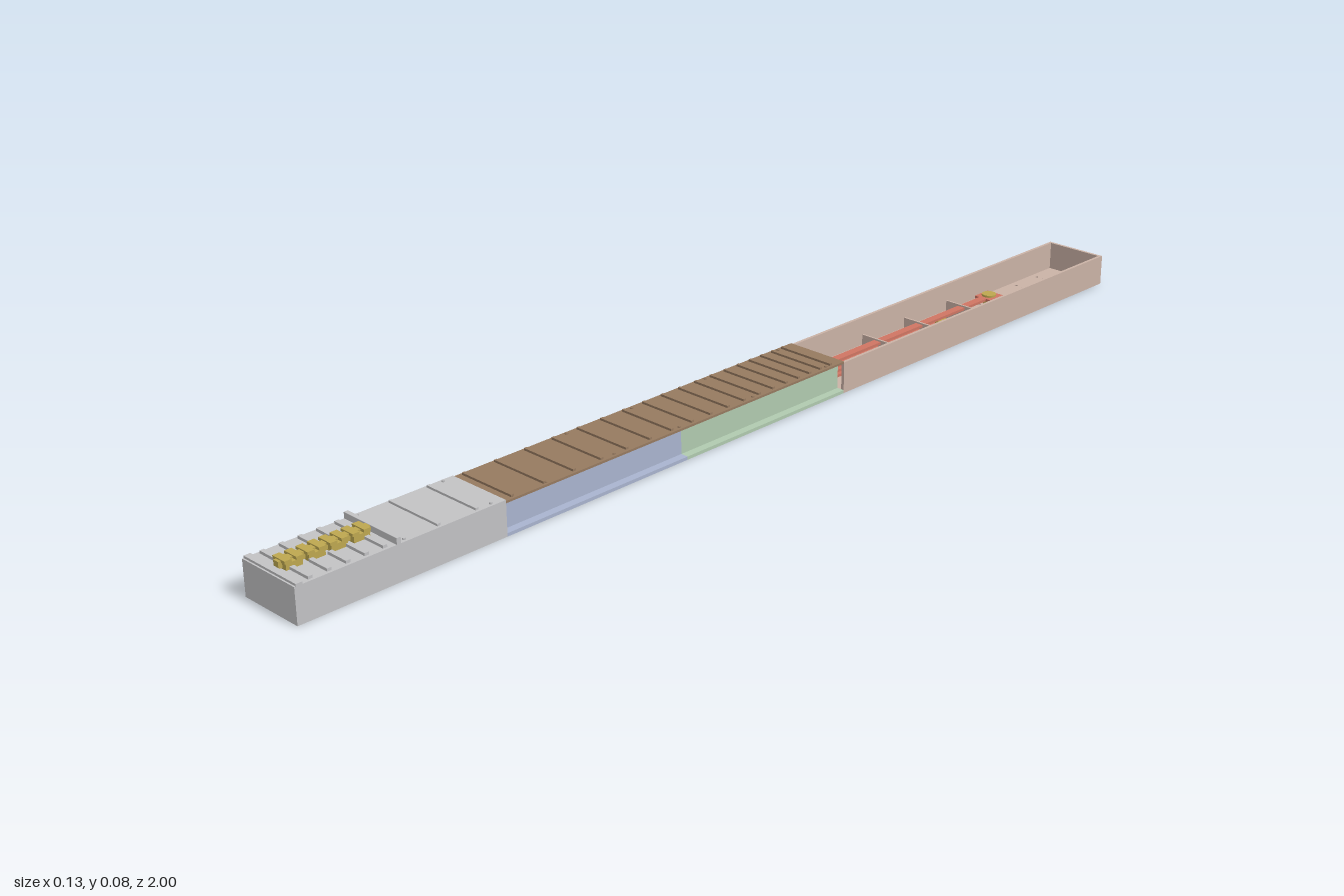
import * as THREE from 'three';

const mat = (name, color) => {
  const m = new THREE.MeshStandardMaterial({ color });
  m.name = name;
  return m;
};

export function createModel() {
  const grey = mat('head grey', 0xc2c2c4);
  const blue = mat('body blue', 0xa9b4cf);
  const green = mat('body green', 0xb0caaf);
  const pink = mat('trough pink', 0xcab2a6);
  const brown = mat('board brown', 0x967a60);
  const gold = mat('brass', 0xbda750);
  const red = mat('bar red', 0xcf7563);

  const model = new THREE.Group();
  const add = (name, geo, m, x = 0, y = 0, z = 0) => {
    const mesh = new THREE.Mesh(geo, m);
    mesh.name = name;
    mesh.position.set(x, y, z);
    model.add(mesh);
    return mesh;
  };
  // box given by its two extreme corners
  const box = (name, m, x0, x1, y0, y1, z0, z1) =>
    add(name, new THREE.BoxGeometry(x1 - x0, y1 - y0, z1 - z0), m,
      (x0 + x1) / 2, (y0 + y1) / 2, (z0 + z1) / 2);
  const post = (name, m, r, x, y0, y1, z, sides = 20) =>
    add(name, new THREE.CylinderGeometry(r, r, y1 - y0, sides), m, x, (y0 + y1) / 2, z);

  const W = 0.065, TOP = 0.062, wall = 0.006;

  // head block with nut, front lip and cross ribs
  box('head', grey, -W, W, 0, 0.064, 0.6, 1);
  box('nut', grey, -W, W, 0.064, 0.075, 0.806, 0.814);
  box('headLip', grey, -W, W, 0.064, 0.068, 0.985, 0.997);
  for (let i = 0; i < 5; i++) {
    const z = 0.832 + i * 0.034;
    for (const s of [-1, 1]) {
      box('headRib', grey, Math.min(s * 0.015, s * 0.06), Math.max(s * 0.015, s * 0.06),
        0.064, 0.069, z - 0.004, z + 0.004);
    }
  }

  // four brass string clamps
  for (let i = 0; i < 4; i++) {
    const z = 0.84 + i * 0.041;
    box('clampBase', gold, -0.015, 0.015, 0.064, 0.075, z - 0.015, z + 0.015);
    box('clampCap', gold, -0.015, 0.015, 0.075, 0.08, z - 0.017, z - 0.004);
    box('clampCap', gold, -0.015, 0.015, 0.075, 0.08, z + 0.004, z + 0.017);
    box('clampScrew', gold, -0.006, 0.006, 0.066, 0.078, z - 0.022, z + 0.022);
  }

  // hollow middle body: floor, left outer wall and an inset wall under the board
  for (const [name, m, z0, z1] of [['front', blue, 0.2, 0.6], ['rear', green, -0.2, 0.2]]) {
    box(name + 'BodyFloor', m, -W, W, 0, 0.006, z0, z1);
    box(name + 'BodyWall', m, -W, -W + wall, 0.006, 0.058, z0, z1);
    box(name + 'BodyInsetWall', m, 0.044, 0.05, 0.006, 0.058, z0, z1);
  }
  box('rearBodyEnd', green, -W + wall, -0.005, 0.006, 0.058, -0.2, -0.194);

  // fingerboard and geometrically spaced frets
  box('fingerboard', brown, -W, W, 0.058, TOP, -0.2, 0.6);
  for (let n = 1; n <= 20; n++) {
    const z = -0.62 + 1.43 * Math.pow(2, -n / 12);
    const onHead = z > 0.6;
    const y = onHead ? 0.064 : TOP;
    box('fret', onHead ? grey : brown, -0.06, 0.06, y, y + 0.004, z - 0.003, z + 0.003);
  }
  for (const z of [-0.17, 0.02, 0.2, 0.35, 0.5, 0.57]) {
    for (const x of [-0.058, 0.058]) post('boardScrew', brown, 0.003, x, TOP, TOP + 0.002, z + 0.012, 8);
  }
  for (const x of [-0.058, 0.058]) {
    for (const z of [0.625, 0.795]) post('headScrew', grey, 0.003, x, 0.064, 0.067, z, 8);
  }

  // trough floor with tuner openings and small drilled holes
  const tunerZ = [-0.27, -0.398, -0.525, -0.68];
  const tunerX = 0.022;
  const floor = new THREE.Shape();
  floor.moveTo(-W, 0.2).lineTo(W, 0.2).lineTo(W, 1).lineTo(-W, 1).closePath();
  const hole = (x, z, r) => {
    const p = new THREE.Path();
    p.absarc(x, -z, r, 0, Math.PI * 2, true);
    floor.holes.push(p);
  };
  for (const z of tunerZ) {
    hole(tunerX, z, 0.022);
    for (const dz of [-0.04, 0, 0.04]) hole(-0.022 - Math.abs(dz) * 0.2, z + dz, 0.004);
    hole(-0.045, z - 0.02, 0.004);
  }
  for (const x of [-0.012, 0.044]) hole(x, -0.75, 0.007);
  for (const z of [-0.79, -0.86, -0.93]) for (const x of [-0.045, -0.028]) hole(x, z, 0.003);
  const floorGeo = new THREE.ExtrudeGeometry(floor, { depth: 0.005, bevelEnabled: false, curveSegments: 10 });
  floorGeo.rotateX(-Math.PI / 2);
  add('troughFloor', floorGeo, pink);

  // trough walls
  box('troughLeftWall', pink, W - wall, W, 0.005, 0.06, -1, -0.2);
  box('troughRightWall', pink, -W, -W + wall, 0.005, 0.06, -1, -0.2);
  box('troughBackWall', pink, -W + wall, W - wall, 0.005, 0.06, -1, -0.994);

  // upright bar guides
  for (const z of [-0.345, -0.467, -0.595]) {
    box('barGuide', pink, -0.015, 0.05, 0.005, 0.052, z - 0.002, z + 0.002);
  }

  // stacked pull bars, each ending at its own brass tuner
  tunerZ.forEach((z, i) => {
    const y = 0.014 + i * 0.01;
    box('pullBar', red, tunerX - 0.008, tunerX + 0.008, y, y + 0.005, z, 0.59);
    box('pullBarEnd', red, tunerX - 0.019, tunerX + 0.019, y, y + 0.005, z - 0.02, z + 0.02);
    post('tunerShaft', gold, 0.011, tunerX, 0.001, y, z);
    post('tunerCap', gold, 0.014, tunerX, y + 0.005, y + 0.009, z);
  });

  return model;
}
